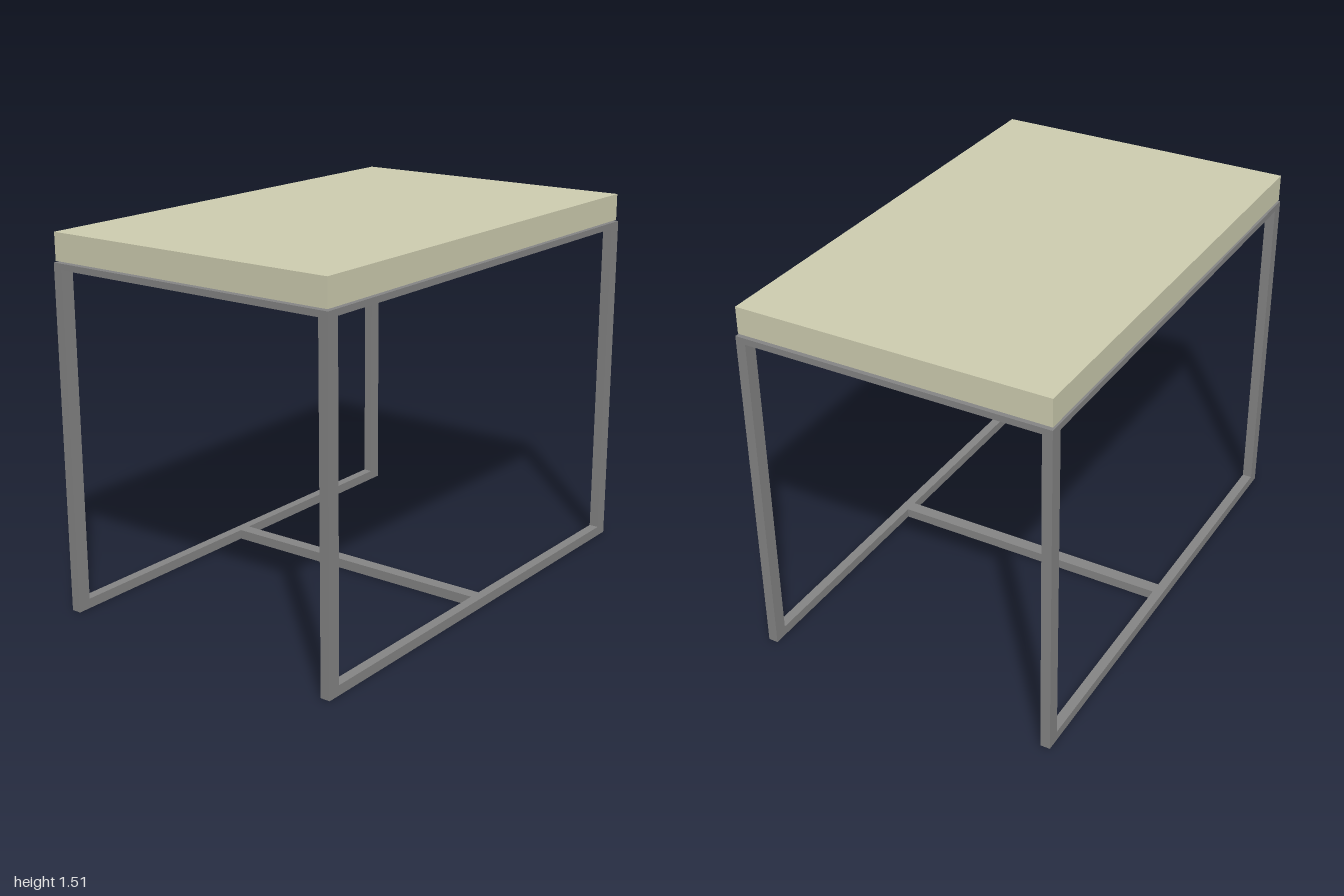
import * as THREE from 'three';

export function createModel() {
  const model = new THREE.Group();
  const metal = new THREE.MeshStandardMaterial({ color: 0x868686 });
  const board = new THREE.MeshStandardMaterial({ color: 0xd0cfb2 });

  // Box given by its extents on each axis
  function bar(name, [x0, x1], [y0, y1], [z0, z1], material = metal) {
    const mesh = new THREE.Mesh(new THREE.BoxGeometry(x1 - x0, y1 - y0, z1 - z0), material);
    mesh.position.set((x0 + x1) / 2, (y0 + y1) / 2, (z0 + z1) / 2);
    mesh.name = name;
    model.add(mesh);
  }
  // Range between two distances, on the chosen side of the centre
  const on = (side, inner, outer) => (side > 0 ? [inner, outer] : [-outer, -inner]);

  const X = 0.64, XI = 0.6, Z = 1, ZI = 0.945; // outer and inner frame limits
  const FOOT = 0.04, RAIL = 1.375, TOP = 1.4;  // rail heights

  for (const sx of [1, -1]) {
    const side = sx > 0 ? 'left' : 'right';
    // Rectangular side frame: floor rail, upper rail and two legs
    bar(`${side}FloorRail`, on(sx, XI, X), [0, FOOT], [-ZI, ZI]);
    bar(`${side}UpperRail`, on(sx, XI, X), [RAIL, TOP], [-ZI, ZI]);
    for (const sz of [1, -1]) {
      bar(`${side}${sz > 0 ? 'Front' : 'Back'}Leg`, on(sx, XI, X), [0, TOP], on(sz, ZI, Z));
    }
  }

  // Upper end rails
  for (const sz of [1, -1]) {
    bar(sz > 0 ? 'frontUpperRail' : 'backUpperRail', [-XI, XI], [RAIL, TOP], on(sz, ZI, Z));
  }

  // Cross braces at mid depth
  bar('floorBrace', [-XI, XI], [0, FOOT], [-0.027, 0.027]);
  bar('upperBrace', [-XI, XI], [RAIL, TOP], [-0.027, 0.027]);

  // Thick table top, just clear of the frame
  bar('tableTop', [-0.635, 0.635], [1.406, 1.515], [-0.99, 0.995], board);

  return model;
}
